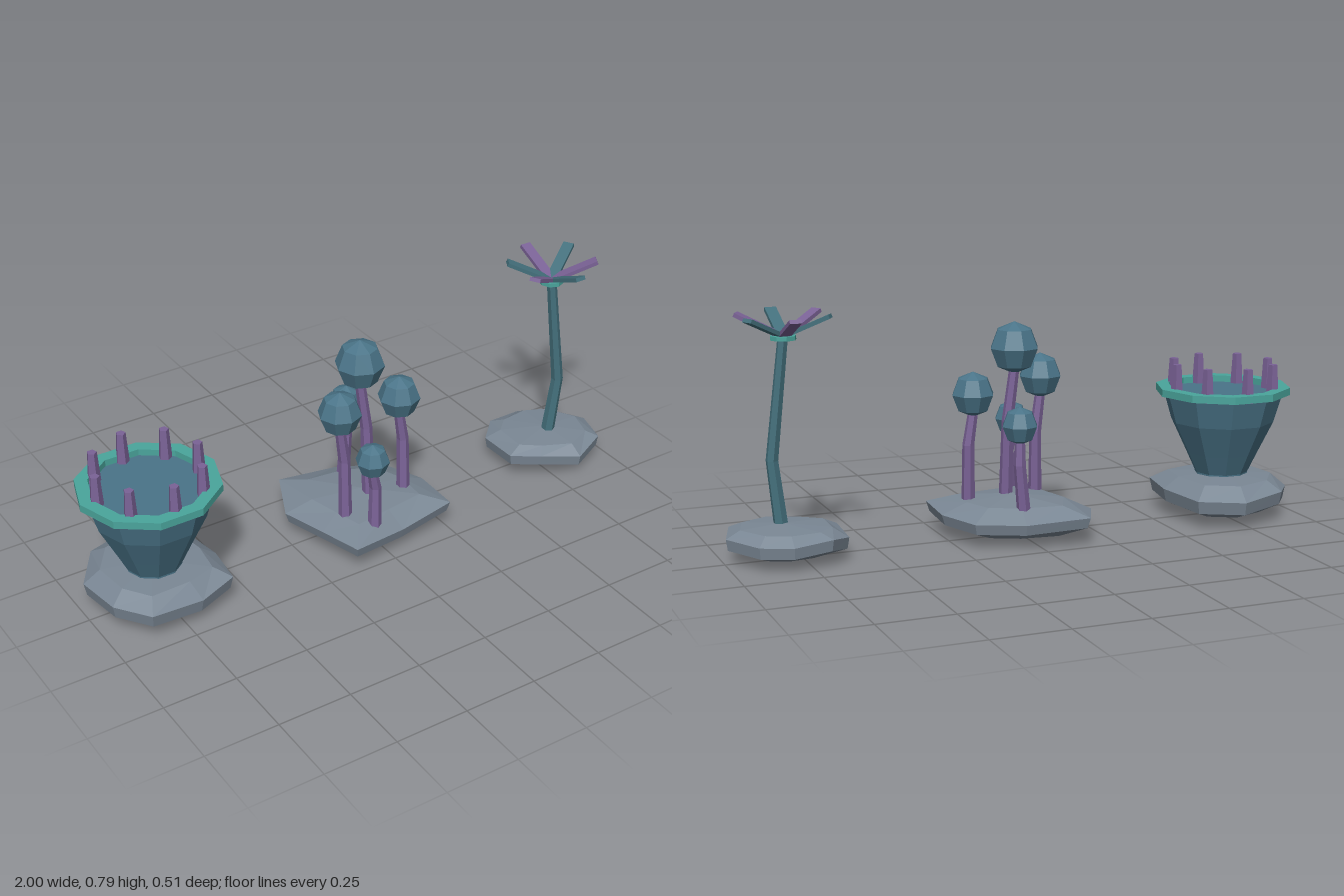
import * as THREE from 'three';

const mat = (color) => new THREE.MeshStandardMaterial({ color, flatShading: true });
const rockGrey = mat(0x7a8794), blue = mat(0x4a7488), rimTeal = mat(0x4aa59c);
const purple = mat(0x7a6296), stemTeal = mat(0x44707c);

function add(parent, name, geometry, material, x = 0, y = 0, z = 0) {
  const mesh = new THREE.Mesh(geometry, material);
  mesh.name = name;
  mesh.position.set(x, y, z);
  parent.add(mesh);
  return mesh;
}

// Faceted rock: an outline of [x, z] points scaled about a centre, ring by ring
function rockGeometry(outline, [cx, cz], rings) {
  const at = ([s, y], j) => {
    const n = outline.length, [x, z] = outline[j % n];
    // small regular wobble keeps the rim from being level
    const wobble = s > 0.8 ? 0.008 * Math.sin(j % n * 2.3) : 0;
    return [cx + (x - cx) * s, y + wobble, cz + (z - cz) * s];
  };
  const pos = [];
  for (let i = 0; i < rings.length - 1; i++) {
    for (let j = 0; j < outline.length; j++) {
      const a = at(rings[i], j), b = at(rings[i], j + 1);
      const c = at(rings[i + 1], j), d = at(rings[i + 1], j + 1);
      if (rings[i][0] > 0) pos.push(...a, ...c, ...b);
      if (rings[i + 1][0] > 0) pos.push(...b, ...c, ...d);
    }
  }
  const g = new THREE.BufferGeometry();
  g.setAttribute('position', new THREE.Float32BufferAttribute(pos, 3));
  g.computeVertexNormals();
  return g;
}

// Tapered stalk that bends through three points
function stalkGeometry(points, rBottom, rTop, sides) {
  const g = new THREE.CylinderGeometry(rTop, rBottom, 2, sides, 2);
  const p = g.attributes.position;
  for (let i = 0; i < p.count; i++) {
    const [x, y, z] = points[Math.round(p.getY(i) + 1)];
    p.setXYZ(i, p.getX(i) + x, y, p.getZ(i) + z);
  }
  g.computeVertexNormals();
  return g;
}

const lathe = (profile, sides) =>
  new THREE.LatheGeometry(profile.map(([r, y]) => new THREE.Vector2(r, y)), sides).rotateY(Math.PI / 2);

// Wide cup with a ring of feelers
function createCup() {
  const group = new THREE.Group();
  group.name = 'cupPlant';
  const outline = [[-0.55, 0.02], [-0.57, 0.17], [-0.7, 0.21], [-0.88, 0.215], [-0.96, 0.1],
    [-0.98, -0.07], [-0.89, -0.2], [-0.72, -0.26], [-0.58, -0.18]];
  add(group, 'cupRock', rockGeometry(outline, [-0.77, 0],
    [[0, 0.008], [0.62, 0.022], [0.96, 0.056], [1, 0.1], [0.75, 0.14], [0, 0.15]]), rockGrey);
  const [x, z] = [-0.767, 0.01];
  add(group, 'cupBody', lathe([[0.09, 0.12], [0.092, 0.15], [0.125, 0.22], [0.178, 0.33], [0.207, 0.43], [0, 0.43]], 10), blue, x, 0, z);
  add(group, 'cupRim', lathe([[0.19, 0.427], [0.233, 0.427], [0.233, 0.452], [0.19, 0.452], [0.19, 0.427]], 10), rimTeal, x, 0, z);
  for (let i = 0; i < 8; i++) {
    const a = i * Math.PI / 4;
    add(group, 'feeler', new THREE.CylinderGeometry(0.016, 0.023, 0.115, 5), purple,
      x + 0.177 * Math.cos(a), 0.478, z + 0.177 * Math.sin(a));
  }
  return group;
}

// Cluster of bulbs on thin stalks
function createBulbs() {
  const group = new THREE.Group();
  group.name = 'bulbCluster';
  const outline = [[0.27, 0.01], [0.262, 0.19], [0.05, 0.22], [-0.15, 0.25], [-0.19, 0.1],
    [-0.232, -0.07], [-0.155, -0.24], [0.06, -0.215], [0.21, -0.14]];
  add(group, 'bulbRock', rockGeometry(outline, [0.02, 0.01],
    [[0, 0.003], [0.6, 0.02], [0.96, 0.055], [1, 0.09], [0.65, 0.125], [0, 0.142]]), rockGrey);
  // bulb centre, bulb radius, stalk foot x and z
  const bulbs = [
    [[0.01, 0.632, 0.015], 0.083, 0.035, 0.035],
    [[0.145, 0.48, 0.045], 0.072, 0.16, 0.055],
    [[-0.112, 0.52, 0.085], 0.073, -0.095, 0.09],
    [[-0.042, 0.362, 0.172], 0.057, -0.035, 0.175],
    [[0.05, 0.4, -0.13], 0.06, 0.035, -0.13],
  ];
  for (const [[x, y, z], r, fx, fz] of bulbs) {
    const middle = [(x + fx) / 2 + 0.01, (0.1 + y) / 2 + 0.02, (z + fz) / 2 - 0.005];
    add(group, 'stalk', stalkGeometry([[fx, 0.1, fz], middle, [x, y - r * 0.8, z]], 0.023, 0.017, 6), purple);
    add(group, 'bulb', new THREE.SphereGeometry(r, 8, 4).scale(1, 1.05, 1), blue, x, y, z);
  }
  return group;
}

// Tall stem topped with six slanting petals
function createFlower() {
  const group = new THREE.Group();
  group.name = 'tallFlower';
  const outline = [[0.995, 0], [0.955, 0.13], [0.83, 0.185], [0.7, 0.125], [0.615, 0.06],
    [0.62, -0.095], [0.69, -0.16], [0.82, -0.175], [0.92, -0.13]];
  add(group, 'flowerRock', rockGeometry(outline, [0.81, 0.005],
    [[0, 0.01], [0.6, 0.022], [0.97, 0.048], [1, 0.085], [0.75, 0.11], [0, 0.12]]), rockGrey);
  add(group, 'stem', stalkGeometry([[0.81, 0.1, 0.018], [0.833, 0.32, 0.026], [0.792, 0.71, 0.012]], 0.024, 0.017, 6), stemTeal);
  const head = new THREE.Group();
  head.name = 'flowerHead';
  head.position.set(0.79, 0.713, 0.011);
  group.add(head);
  add(head, 'flowerDisc', new THREE.CylinderGeometry(0.042, 0.042, 0.014, 8), rimTeal);
  for (let i = 0; i < 6; i++) {
    const petal = new THREE.BoxGeometry(0.038, 0.013, 0.165).rotateX(-0.42).translate(0, 0.037, 0.077);
    add(head, 'petal', petal, i % 2 ? purple : stemTeal).rotation.y = i * Math.PI / 3;
  }
  return group;
}

export function createModel() {
  const model = new THREE.Group();
  model.name = 'alienPlants';
  model.add(createCup(), createBulbs(), createFlower());
  return model;
}
